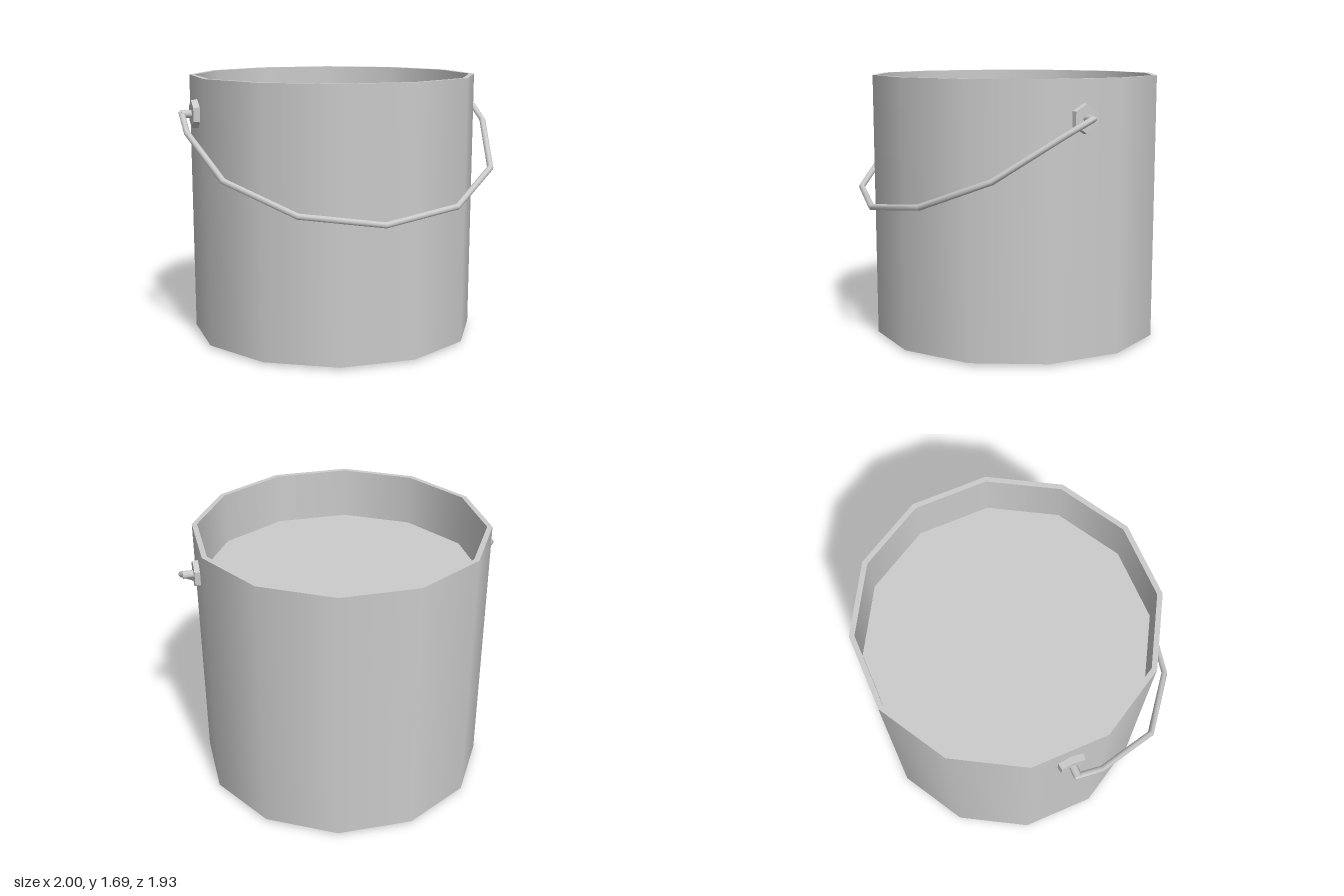
import * as THREE from 'three';

const material = new THREE.MeshStandardMaterial({ color: 0xcccccc, side: THREE.DoubleSide });
const V = (x, y, z) => new THREE.Vector3(x, y, z);

function part(name, geometry) {
  const mesh = new THREE.Mesh(geometry, material);
  mesh.name = name;
  return mesh;
}

// Bent rod: a ring is slid along each straight run onto the mitre plane of the next bend
function bentRod(points, radius, sides) {
  const dirs = points.slice(1).map((p, i) => p.clone().sub(points[i]).normalize());
  const u = V(0, 1, 0).cross(dirs[0]).normalize();
  const v = dirs[0].clone().cross(u);
  let ring = [];
  for (let i = 0; i < sides; i++) {
    const a = (i / sides) * Math.PI * 2;
    ring.push(points[0].clone().addScaledVector(u, radius * Math.cos(a)).addScaledVector(v, radius * Math.sin(a)));
  }
  const positions = [], index = [];
  ring.forEach(p => positions.push(p.x, p.y, p.z));
  dirs.forEach((d, s) => {
    const end = points[s + 1];
    const normal = d.clone().add(dirs[s + 1] || d).normalize();
    ring = ring.map(p => p.clone().addScaledVector(d, end.clone().sub(p).dot(normal) / d.dot(normal)));
    ring.forEach(p => positions.push(p.x, p.y, p.z));
    for (let i = 0; i < sides; i++) {
      const a = s * sides + i, b = s * sides + (i + 1) % sides;
      index.push(a, b, a + sides, b, b + sides, a + sides);
    }
  });
  const geometry = new THREE.BufferGeometry();
  geometry.setAttribute('position', new THREE.Float32BufferAttribute(positions, 3));
  geometry.setIndex(index);
  geometry.computeVertexNormals();
  return geometry;
}

export function createModel() {
  const model = new THREE.Group();
  model.name = 'bucket';

  // Twelve-sided body, one lathe per surface so the rim edges stay sharp
  const body = new THREE.Group();
  body.name = 'body';
  body.position.set(-0.023, 0, -0.045);
  const profile = [[0, 0], [0.92, 0.015], [0.926, 1.69], [0.893, 1.69], [0.89, 1.36], [0, 1.36]]
    .map(([r, y]) => new THREE.Vector2(r, y));
  ['base', 'outerWall', 'rim', 'innerWall', 'contents'].forEach((name, i) => {
    body.add(part(name, new THREE.LatheGeometry([profile[i], profile[i + 1]], 12)));
  });
  model.add(body);

  // Handle lug and pivot peg on two opposite facets
  for (const [name, x, z, side] of [['left', 0.858, -0.262, 1], ['right', -0.902, 0.205, -1]]) {
    const lug = new THREE.Group();
    lug.name = name + 'Lug';
    lug.position.set(x, 1.46, z);
    lug.rotation.y = Math.PI / 12 + (side < 0 ? Math.PI : 0);
    const plate = part('plate', new THREE.CylinderGeometry(0.085, 0.092, 0.04, 6).toNonIndexed());
    plate.geometry.computeVertexNormals();
    plate.geometry.rotateY(Math.PI / 2).rotateZ(-Math.PI / 2);
    const peg = part('peg', new THREE.CylinderGeometry(0.025, 0.025, 0.08, 8).rotateZ(-Math.PI / 2));
    peg.position.x = 0.045;
    lug.add(plate, peg);
    model.add(lug);
  }

  // Wire handle hanging forward
  const path = [
    V(0.87, 1.46, -0.262), V(0.945, 1.46, -0.28), V(0.98, 1.38, -0.12), V(0.955, 1.12, 0.31),
    V(0.685, 0.945, 0.69), V(0.235, 0.885, 0.925), V(-0.27, 0.945, 0.945), V(-0.70, 1.12, 0.75),
    V(-0.935, 1.36, 0.38), V(-0.978, 1.46, 0.222), V(-0.90, 1.46, 0.205),
  ];
  model.add(part('handle', bentRod(path, 0.019, 8)));

  return model;
}
